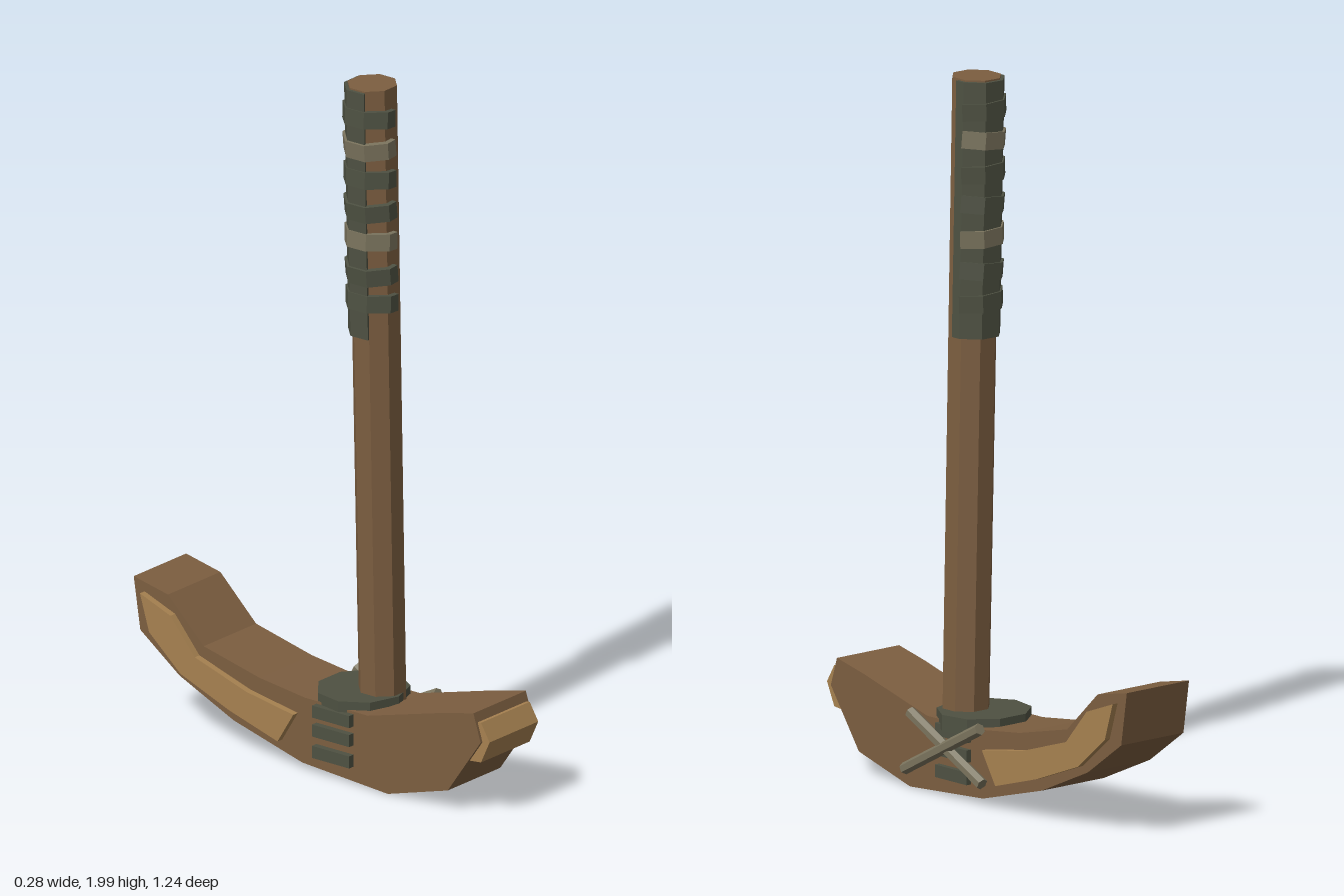
import * as THREE from 'three';

const mat = (name, color) => {
  const m = new THREE.MeshStandardMaterial({ color, flatShading: true });
  m.name = name;
  return m;
};

export function createModel() {
  const wood = mat('brown wood', 0x7c5e40);
  const paleWood = mat('pale wood', 0xa68150);
  const leather = mat('dark green leather', 0x4e5142);
  const cord = mat('grey cord', 0x7a735d);
  const model = new THREE.Group();

  const add = (parent, name, geometry, material) => {
    const mesh = new THREE.Mesh(geometry, material);
    mesh.name = name;
    parent.add(mesh);
    return mesh;
  };

  // Side profile given as [z, y], extruded from x0 to x1
  const slab = (points, x0, x1) => {
    const shape = new THREE.Shape(points.map(([z, y]) => new THREE.Vector2(-z, y)));
    return new THREE.ExtrudeGeometry(shape, { depth: x1 - x0, bevelEnabled: false })
      .rotateY(Math.PI / 2).translate(x0, 0, 0);
  };

  // Curved pick head
  add(model, 'head', slab([
    [0.57, 0.31], [0.46, 0.285], [0.2, 0.215], [-0.02, 0.215], [-0.18, 0.235],
    [-0.375, 0.28], [-0.5, 0.4], [-0.62, 0.425], [-0.597, 0.275], [-0.46, 0.175],
    [-0.27, 0.09], [-0.03, 0.025], [0.27, 0.005], [0.48, 0.065], [0.595, 0.23],
  ], -0.125, 0.1), wood);

  // Blunt striking face
  add(model, 'strikingFace', slab([
    [0.55, 0.28], [0.59, 0.285], [0.62, 0.235], [0.59, 0.17], [0.54, 0.165],
  ], -0.117, 0.092), paleWood);

  // Raised panels on both sides of the long blade
  const panel = [
    [-0.045, 0.165], [-0.21, 0.193], [-0.39, 0.25], [-0.475, 0.35], [-0.582, 0.39],
    [-0.55, 0.285], [-0.44, 0.19], [-0.27, 0.125], [-0.1, 0.075],
  ];
  add(model, 'leftPanel', slab(panel, 0.1, 0.118), paleWood);
  add(model, 'rightPanel', slab(panel, -0.145, -0.125), paleWood);

  // Collar where the handle enters the head
  const collar = add(model, 'collar', new THREE.CylinderGeometry(0.135, 0.135, 0.045, 9), leather);
  collar.scale.z = 0.93;
  collar.position.set(-0.005, 0.216, 0.085);

  // Binding straps on both sides of the head
  for (const [x, side] of [[-0.132, 'right'], [0.104, 'left']]) {
    for (const y of [0.073, 0.135, 0.19]) {
      const strap = add(model, side + 'Strap', new THREE.BoxGeometry(0.024, 0.035, 0.13), leather);
      strap.position.set(x, y, 0.085);
    }
  }

  // Crossed lashing
  const lashing = (x, z0, y0, z1, y1) => {
    const a = new THREE.Vector3(x, y0, z0), b = new THREE.Vector3(x, y1, z1);
    const rod = add(model, 'lashing', new THREE.CylinderGeometry(0.017, 0.017, a.distanceTo(b), 6), cord);
    rod.position.copy(a).lerp(b, 0.5);
    rod.quaternion.setFromUnitVectors(new THREE.Vector3(0, 1, 0), b.sub(a).normalize());
  };
  lashing(0.117, 0.25, 0.22, -0.045, 0.07);
  lashing(0.125, 0.265, 0.06, -0.045, 0.225);

  // Leaning octagonal handle
  const handle = new THREE.Group();
  handle.name = 'handle';
  handle.position.set(0.016, 0.15, 0.138);
  handle.rotation.set(-0.008, 0, 0.015);
  model.add(handle);
  add(handle, 'shaft',
    new THREE.CylinderGeometry(0.07, 0.067, 1.849, 8).rotateY(Math.PI / 8).translate(0, 0.9245, 0), wood);

  // Partial octagonal shell; steps are 22.5 degrees around from +x
  const wrap = (outer, inner, from, to, height) => {
    const at = (r, k) => {
      const a = k * Math.PI / 8, d = k % 2 ? r : r * Math.cos(Math.PI / 8);
      return new THREE.Vector2(d * Math.cos(a), d * Math.sin(a));
    };
    const points = [];
    for (let k = from; k <= to; k++) points.push(at(outer, k));
    for (let k = to; k >= from; k--) points.push(at(inner, k));
    return new THREE.ExtrudeGeometry(new THREE.Shape(points), { depth: height, bevelEnabled: false })
      .rotateX(Math.PI / 2).translate(0, height / 2, 0);
  };

  // Grip sleeve behind the handle
  add(handle, 'gripSleeve', wrap(0.08, 0.064, -9, 0, 0.715), leather).position.y = 1.487;

  // Strips wound over the sleeve
  [1.38, 1.465, 1.56, 1.65, 1.74, 1.83, 1.915].forEach((y, i) => {
    const pale = i === 2 || i === 5;
    const strip = add(handle, 'gripStrip', wrap(0.086, 0.064, -12, -1, 0.048), pale ? cord : leather);
    strip.position.y = y - 0.15;
    strip.rotation.z = i % 2 ? 0.08 : -0.06;
  });

  return model;
}
